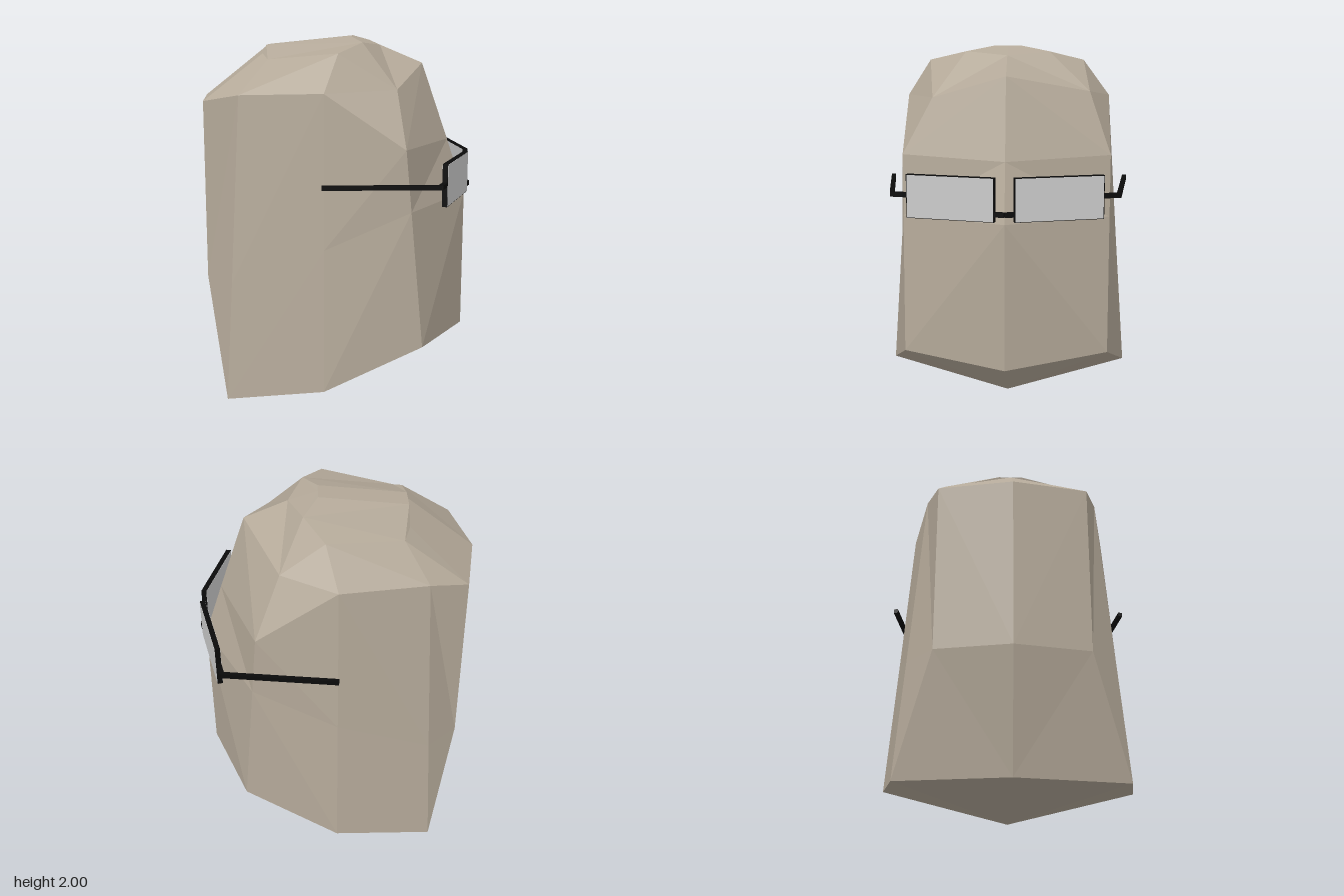
import * as THREE from 'three';

const skin = new THREE.MeshStandardMaterial({ color: 0xb3a898, flatShading: true });
const black = new THREE.MeshStandardMaterial({ color: 0x0a0a0a });
const glass = new THREE.MeshStandardMaterial({ color: 0xcccccc });

// Half rings of the head, bottom to top; each runs from the back (-x) round the side to the face (+x)
const chin = [0.2, 0.005, 0];
const rings = [
  [chin, chin, chin, chin, chin, chin],
  [[-0.635, 0.025, 0], [-0.55, 0.025, 0.6], [-0.55, 0.025, 0.6], [0, 0.13, 0.69], [0.52, 0.355, 0.555], [0.735, 0.32, 0]],
  [[-0.77, 0.68, 0], [-0.69, 0.68, 0.41], [-0.522, 0.68, 0.553], [-0.005, 0.9, 0.633], [0.451, 1.1, 0.558], [0.735, 1.11, 0]],
  [[-0.77, 1.66, 0], [-0.69, 1.66, 0.41], [-0.48, 1.7, 0.48], [-0.01, 1.72, 0.575], [0.42, 1.43, 0.56], [0.63, 1.42, 0]],
  [[-0.4, 1.95, 0], [-0.39, 1.91, 0.24], [-0.35, 1.88, 0.31], [0.05, 1.92, 0.44], [0.36, 1.73, 0.4], [0.48, 1.85, 0]],
  [[-0.4, 1.95, 0], [-0.4, 1.95, 0.07], [-0.4, 1.95, 0.07], [0.16, 1.97, 0.23], [0.16, 1.97, 0.23], [0.24, 1.95, 0]],
  [[-0.4, 1.95, 0], [-0.4, 1.95, 0.07], [-0.4, 1.95, 0.07], [0.08, 2, 0.07], [0.08, 2, 0.07], [0.08, 2, 0]],
  [[-0.4, 1.95, 0], [-0.4, 1.95, 0], [-0.4, 1.95, 0], [0.08, 2, 0], [0.08, 2, 0], [0.08, 2, 0]],
];
// The brow is slightly uneven on the right half
const rightBrow = { 2: [-0.35, 1.91, 0.385], 3: [0.05, 1.92, 0.425], 4: [0.285, 1.76, 0.45] };

function headGeometry() {
  const positions = [];
  const triangle = (a, b, c) => {
    const [p, q, r] = [a, b, c].map(v => new THREE.Vector3(...v));
    const area = q.clone().sub(p).cross(r.clone().sub(p)).length();
    if (area > 1e-6) positions.push(...a, ...b, ...c);
  };
  for (const side of [1, -1]) {
    const point = (i, j) => {
      const [x, y, z] = (side < 0 && i === 4 && rightBrow[j]) || rings[i][j];
      return [x, y, z * side];
    };
    for (let i = 0; i < rings.length - 1; i++) {
      for (let j = 0; j < 5; j++) {
        const a = point(i, j), b = point(i, j + 1), c = point(i + 1, j + 1), d = point(i + 1, j);
        if (side > 0) { triangle(a, b, c); triangle(a, c, d); }
        else { triangle(a, c, b); triangle(a, d, c); }
      }
    }
  }
  const geometry = new THREE.BufferGeometry();
  geometry.setAttribute('position', new THREE.Float32BufferAttribute(positions, 3));
  geometry.computeVertexNormals();
  return geometry;
}

// Box stretched between two points
function bar(name, from, to, height, thickness, material) {
  const a = new THREE.Vector3(...from), b = new THREE.Vector3(...to);
  const mesh = new THREE.Mesh(new THREE.BoxGeometry(thickness, height, a.distanceTo(b)), material);
  mesh.name = name;
  mesh.position.copy(a).add(b).multiplyScalar(0.5);
  mesh.lookAt(b);
  return mesh;
}

function glassesHalf(side) {
  const half = new THREE.Group();
  half.name = side > 0 ? 'leftGlasses' : 'rightGlasses';
  // Point on the swept front line of the glasses
  const front = (z, y) => [0.75 - 0.25 * z, y, z * side];
  half.add(
    bar('templeArm', [-0.01, 1.245, 0.675 * side], [0.605, 1.245, 0.593 * side], 0.024, 0.024, black),
    bar('hinge', front(0.6, 1.245), front(0.51, 1.245), 0.024, 0.028, black),
    bar('lensFrame', front(0.05, 1.24), front(0.512, 1.24), 0.23, 0.028, black),
    bar('lens', front(0.054, 1.24), front(0.508, 1.24), 0.224, 0.031, glass),
    bar('bridge', front(0, 1.165), front(0.055, 1.165), 0.024, 0.028, black),
  );
  return half;
}

export function createModel() {
  const model = new THREE.Group();
  model.name = 'headWithGlasses';
  const head = new THREE.Mesh(headGeometry(), skin);
  head.name = 'head';
  model.add(head, glassesHalf(1), glassesHalf(-1));
  return model;
}
